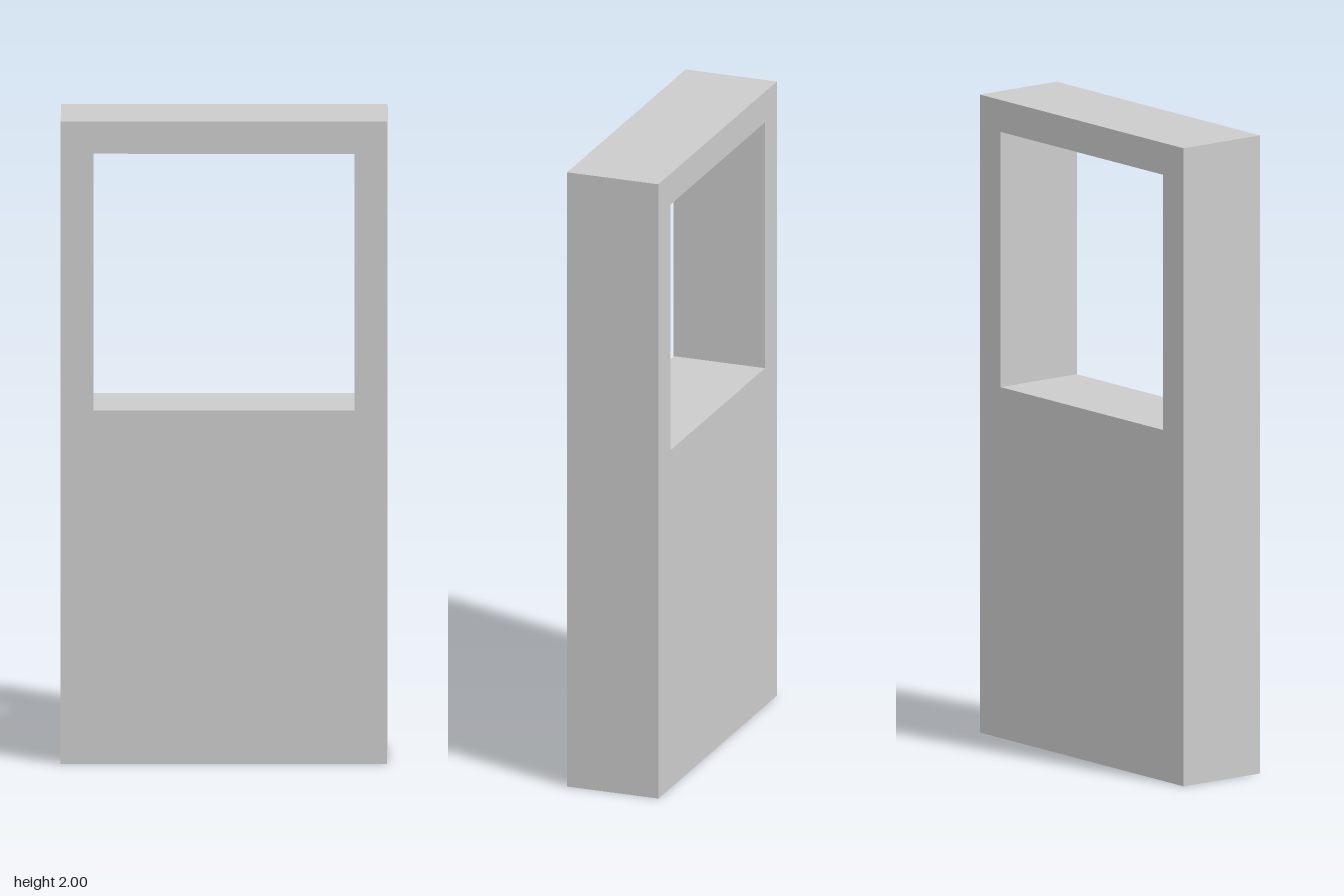
import * as THREE from 'three';

// Clockwise or counter-clockwise order is handled by the extrusion itself
function rectangle(PathType, left, bottom, right, top) {
  const path = new PathType();
  path.moveTo(left, bottom);
  path.lineTo(right, bottom);
  path.lineTo(right, top);
  path.lineTo(left, top);
  path.closePath();
  return path;
}

export function createModel() {
  const width = 1, height = 2, depth = 0.3;
  const border = 0.1, sill = 1.1;

  // Slab outline with a square window opening in its upper half
  const outline = rectangle(THREE.Shape, -width / 2, 0, width / 2, height);
  outline.holes.push(
    rectangle(THREE.Path, -width / 2 + border, sill, width / 2 - border, height - border)
  );

  const geometry = new THREE.ExtrudeGeometry(outline, { depth, bevelEnabled: false });
  geometry.translate(0, 0, -depth / 2);

  const panel = new THREE.Mesh(
    geometry,
    new THREE.MeshStandardMaterial({ color: 0xcccccc, flatShading: true })
  );
  panel.name = 'windowedPanel';

  const model = new THREE.Group();
  model.name = 'panelWithWindow';
  model.add(panel);
  return model;
}
